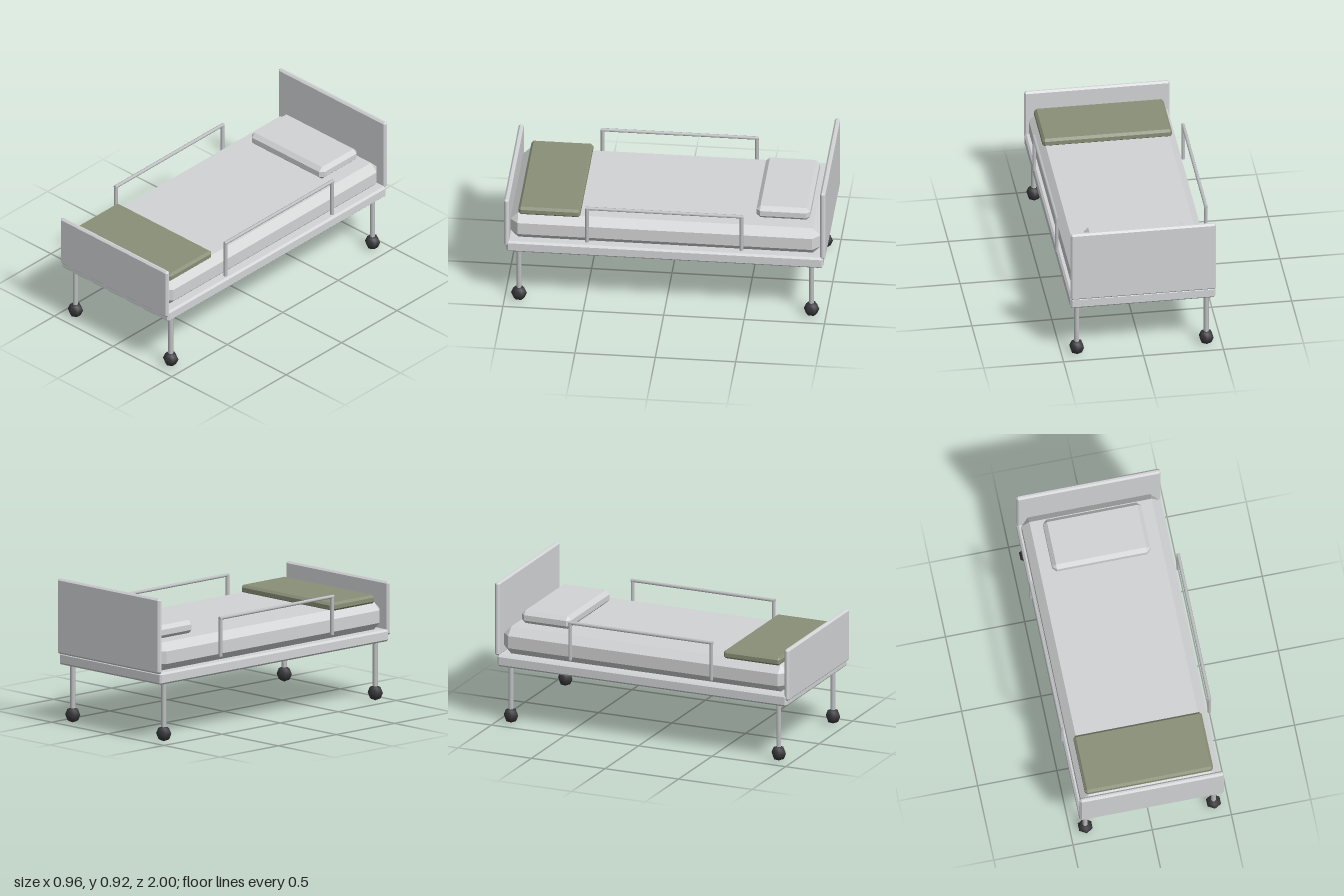
import * as THREE from 'three';
import { ConvexGeometry } from 'three/addons/geometries/ConvexGeometry.js';

const mat = (name, color) => Object.assign(new THREE.MeshStandardMaterial({ color }), { name });

// Box with every edge cut at 45 degrees, given by its min and max corners
function chamferBox([x0, y0, z0], [x1, y1, z1], c) {
  const h = [(x1 - x0) / 2, (y1 - y0) / 2, (z1 - z0) / 2];
  const points = [];
  for (const sx of [-1, 1]) for (const sy of [-1, 1]) for (const sz of [-1, 1]) {
    for (let full = 0; full < 3; full++) {
      const d = h.map((v, i) => (i === full ? v : v - c));
      points.push(new THREE.Vector3(sx * d[0], sy * d[1], sz * d[2]));
    }
  }
  return new ConvexGeometry(points).translate((x0 + x1) / 2, (y0 + y1) / 2, (z0 + z1) / 2);
}

export function createModel() {
  const frame = mat('frameGrey', 0xd2d4d6);
  const linen = mat('linenGrey', 0xd2d3d4);
  const blanket = mat('blanketGreen', 0x898f77);
  const metal = mat('metalGrey', 0xbfc1c3);
  const rubber = mat('rubberBlack', 0x38383b);

  const model = new THREE.Group();
  model.name = 'hospitalBed';
  const add = (name, geometry, material, parent = model) => {
    const mesh = new THREE.Mesh(geometry, material);
    mesh.name = name;
    parent.add(mesh);
    return mesh;
  };

  // Frame and end boards
  add('bedBase', chamferBox([-0.455, 0.37, -0.985], [0.455, 0.445, 0.985], 0.012), frame);
  add('headboard', chamferBox([-0.455, 0.44, -1], [0.455, 0.915, -0.967], 0.011), frame);
  add('footboard', chamferBox([-0.455, 0.41, 0.968], [0.455, 0.745, 1], 0.011), frame);

  // Bedding
  add('mattress', chamferBox([-0.435, 0.443, -0.965], [0.435, 0.62, 0.965], 0.049), linen);
  add('pillow', chamferBox([-0.31, 0.617, -0.89], [0.31, 0.702, -0.555], 0.025), linen);
  add('blanket', chamferBox([-0.405, 0.61, 0.53], [0.405, 0.665, 0.915], 0.015), blanket);

  // Legs and castors
  for (const x of [-0.405, 0.405]) for (const z of [-0.91, 0.91]) {
    const leg = new THREE.Group();
    leg.name = 'leg';
    leg.position.set(x, 0, z);
    model.add(leg);
    add('legPost', new THREE.CylinderGeometry(0.016, 0.016, 0.3, 8).translate(0, 0.225, 0), metal, leg);
    const castor = add('castor', new THREE.SphereGeometry(0.049, 6, 4).rotateY(Math.PI / 2), rubber, leg);
    castor.position.y = 0.049;
  }

  // Side rails
  for (const x of [-0.466, 0.466]) {
    const rail = new THREE.Group();
    rail.name = 'sideRail';
    rail.position.x = x;
    model.add(rail);
    for (const z of [-0.48, 0.48]) {
      add('railPost', new THREE.CylinderGeometry(0.012, 0.012, 0.243, 8).translate(0, 0.605, z), metal, rail);
    }
    const bar = new THREE.CylinderGeometry(0.011, 0.011, 0.98, 8).rotateX(Math.PI / 2);
    add('railBar', bar.translate(0, 0.725, 0), metal, rail);
  }
  return model;
}
